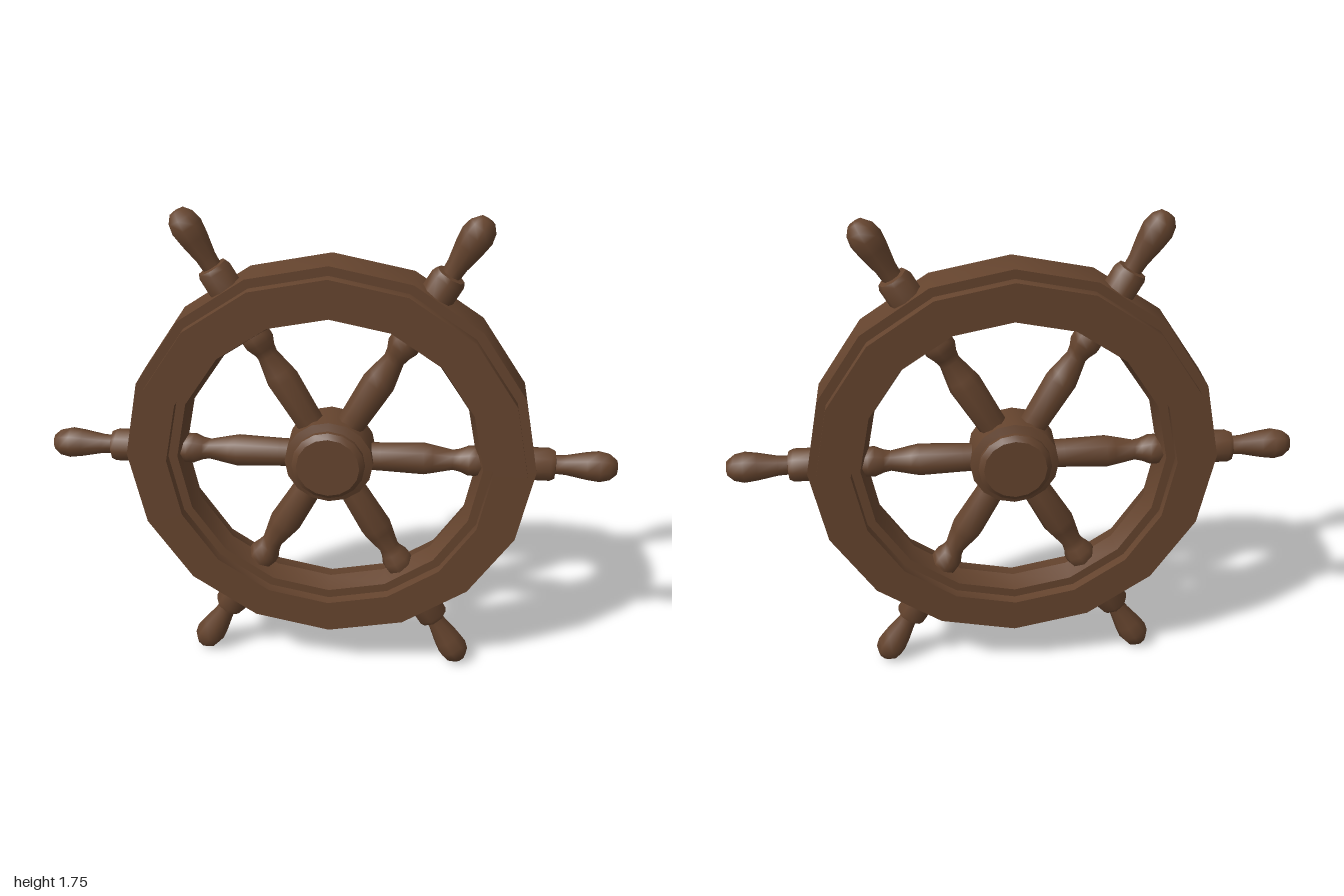
import * as THREE from 'three';
import { toCreasedNormals } from 'three/addons/utils/BufferGeometryUtils.js';

const CENTRE_Y = 0.873;

// Turned part: profile of [radius, height] pairs, corners sharper than the crease stay hard
function turned(profile, sides, crease) {
  const points = profile.map(([r, h]) => new THREE.Vector2(r, h));
  return toCreasedNormals(new THREE.LatheGeometry(points, sides), THREE.MathUtils.degToRad(crease));
}

export function createModel() {
  const model = new THREE.Group();
  model.name = 'shipWheel';
  const wood = new THREE.MeshStandardMaterial({ color: 0x65442e });
  wood.name = 'dark wood';

  const wheel = new THREE.Group();
  wheel.name = 'wheel';
  wheel.position.y = CENTRE_Y;
  model.add(wheel);

  const add = (name, geometry, parent = wheel) => {
    const mesh = new THREE.Mesh(geometry, wood);
    mesh.name = name;
    parent.add(mesh);
    return mesh;
  };

  // Rim: stepped ring with a slight ridge inside
  const rim = turned([
    [0.717, -0.07], [0.717, 0.07], [0.685, 0.07], [0.685, 0.108],
    [0.567, 0.108], [0.567, 0.07], [0.535, 0.07], [0.515, 0],
    [0.535, -0.07], [0.567, -0.07], [0.567, -0.108], [0.685, -0.108],
    [0.685, -0.07], [0.717, -0.07],
  ], 16, 30);
  add('rim', rim.rotateX(Math.PI / 2));

  // Hub: drum with a stepped cap on both faces
  const hub = turned([
    [0, -0.105], [0.11, -0.105], [0.128, -0.09], [0.128, -0.075], [0.155, -0.065],
    [0.155, 0.065], [0.128, 0.075], [0.128, 0.09], [0.11, 0.105], [0, 0.105],
  ], 16, 30);
  add('hub', hub.rotateX(Math.PI / 2));

  // Six turned spokes, each running through the rim into a grip
  const spokeShape = turned([
    [0.05, 0.1], [0.052, 0.18], [0.058, 0.33], [0.052, 0.36], [0.037, 0.43],
    [0.042, 0.455], [0.055, 0.485], [0.055, 0.51], [0.045, 0.55],
  ], 8, 50);
  const gripShape = turned([
    [0.06, 0.66], [0.06, 0.765], [0.052, 0.782], [0.034, 0.785], [0.036, 0.82],
    [0.05, 0.89], [0.056, 0.935], [0.048, 0.97], [0.027, 0.995], [0, 1],
  ], 8, 50);
  for (let i = 0; i < 6; i++) {
    const arm = new THREE.Group();
    arm.name = `arm${i + 1}`;
    arm.rotation.z = Math.PI / 6 + (i * Math.PI) / 3;
    add('spoke', spokeShape, arm);
    add('grip', gripShape, arm);
    wheel.add(arm);
  }
  return model;
}
